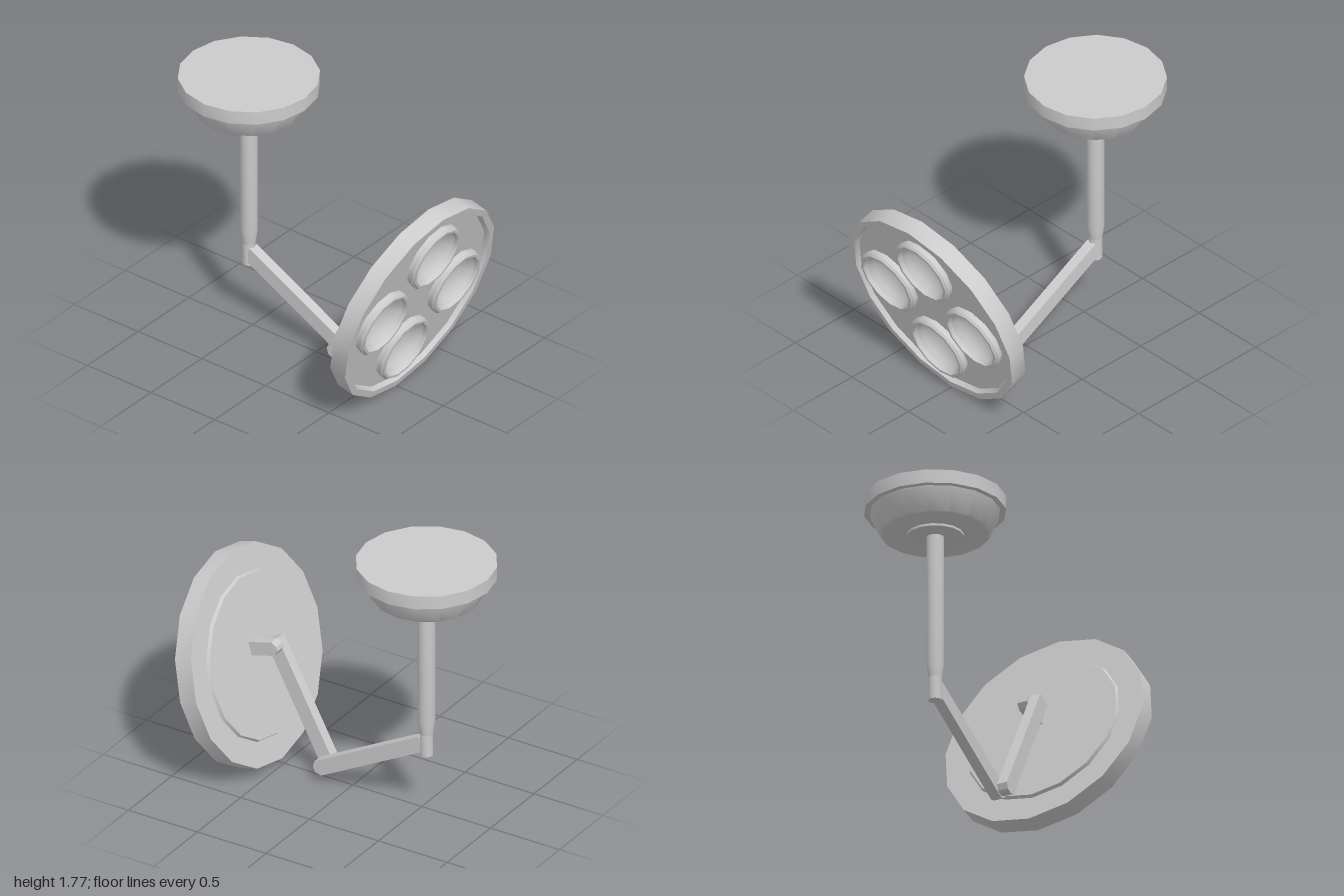
import * as THREE from 'three';
import { toCreasedNormals } from 'three/addons/utils/BufferGeometryUtils.js';

const material = new THREE.MeshStandardMaterial({ color: 0xcccccc });

function part(name, geometry, parent) {
  const mesh = new THREE.Mesh(geometry, material);
  mesh.name = name;
  parent.add(mesh);
  return mesh;
}

// Turned part: profile points are [radius, y], listed bottom to top on the outside
function turned(profile, sides) {
  const points = profile.map(([r, y]) => new THREE.Vector2(r, y));
  return toCreasedNormals(new THREE.LatheGeometry(points, sides), 0.6);
}

// Flat bar from a to b in the xy plane, square at a, chamfered at b
function bar(a, b, width, zMin, zMax) {
  const length = Math.hypot(b[0] - a[0], b[1] - a[1]);
  const h = width / 2, c = 0.03;
  const shape = new THREE.Shape([
    [0, -h], [length - c, -h], [length, -h + c],
    [length, h - c], [length - c, h], [0, h],
  ].map(([x, y]) => new THREE.Vector2(x, y)));
  const geometry = new THREE.ExtrudeGeometry(shape, { depth: zMax - zMin, bevelEnabled: false });
  geometry.rotateZ(Math.atan2(b[1] - a[1], b[0] - a[0]));
  geometry.translate(a[0], a[1], zMin);
  return geometry;
}

function circlePoints(radius, sides, cx = 0, cy = 0) {
  return Array.from({ length: sides }, (_, i) => {
    const t = (i / sides) * Math.PI * 2;
    return new THREE.Vector2(cx + radius * Math.cos(t), cy + radius * Math.sin(t));
  });
}

export function createModel() {
  const model = new THREE.Group();
  model.name = 'ceilingExamLamp';

  // Ceiling mount and drop pole
  const mount = new THREE.Group();
  mount.name = 'ceilingMount';
  mount.position.set(-0.56, 0, -0.04);
  model.add(mount);
  part('ceilingPlate', turned([[0, 1.685], [0.44, 1.685], [0.44, 1.775], [0, 1.775]], 16), mount);
  part('canopy', turned([[0, 1.53], [0.325, 1.53], [0.34, 1.54], [0.4, 1.67], [0.405, 1.69]], 16), mount);
  part('poleCollar', turned([[0, 1.515], [0.18, 1.515], [0.18, 1.535]], 16), mount);
  part('pole', turned([[0, 0.56], [0.042, 0.56], [0.055, 0.65], [0.055, 1.53]], 16), mount);
  part('poleSwivel', turned([[0, 0.41], [0.042, 0.41], [0.042, 0.56], [0, 0.56]], 16), mount);

  // Jointed arms, side by side in z
  part('lowerArm', bar([-0.55, 0.495], [0.235, 0.075], 0.1, -0.075, -0.005), model);
  part('upperArm', bar([0.587, 0.855], [0.165, 0.065], 0.1, -0.005, 0.065), model);
  part('headBracket', bar([0.72, 0.783], [0.505, 0.842], 0.09, -0.075, -0.005), model);

  // Lamp head: local +y is the direction the light faces
  const head = new THREE.Group();
  head.name = 'lampHead';
  head.position.set(0.756, 0.691, 0);
  head.rotation.z = -THREE.MathUtils.degToRad(105.4);
  model.add(head);
  part('headShell', turned([[0, -0.06], [0.7, -0.06], [0.7, 0.06], [0.655, 0.06], [0.64, 0.03]], 16), head);
  part('backPlate', turned([[0, -0.08], [0.525, -0.08], [0.535, -0.06]], 16), head);

  // Four lamps set around a recessed face with matching holes
  const face = new THREE.Shape(circlePoints(0.64, 16));
  for (let i = 0; i < 4; i++) {
    const angle = THREE.MathUtils.degToRad(5 + i * 90);
    const x = 0.365 * Math.cos(angle), z = 0.365 * Math.sin(angle);
    face.holes.push(new THREE.Path(circlePoints(0.21, 12, x, -z)));

    const lamp = new THREE.Group();
    lamp.name = 'lamp' + (i + 1);
    lamp.position.set(x, 0, z);
    lamp.rotation.y = -angle;
    head.add(lamp);
    part('lampRing', turned([[0.228, 0.03], [0.228, 0.065], [0.215, 0.08], [0.198, 0.08], [0.188, 0.055]], 12), lamp);
    part('reflectorBowl', turned([[0.188, 0.055], [0.165, 0.02], [0.125, -0.01], [0.07, -0.03], [0, -0.037]], 12), lamp);
  }
  part('headFace', new THREE.ShapeGeometry(face).rotateX(-Math.PI / 2).translate(0, 0.03, 0), head);

  return model;
}
